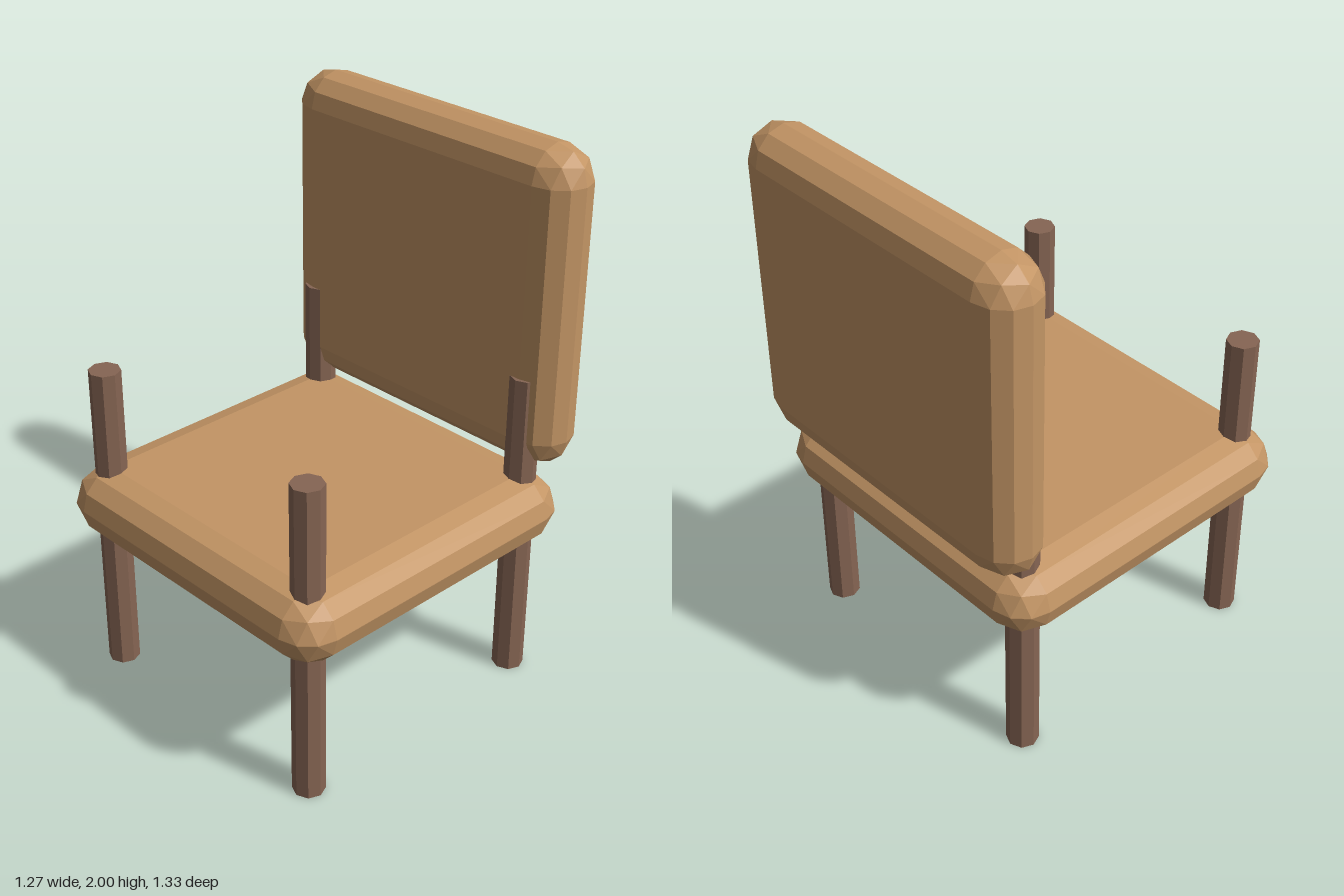
import * as THREE from 'three';
import { ConvexGeometry } from 'three/addons/geometries/ConvexGeometry.js';

// Block with faceted rounded edges (three 30 degree facets per edge)
function cushionGeometry(size, radius) {
  const c = Math.cos(Math.PI / 6), s = 0.5, d = 1 / Math.sqrt(3);
  const corner = [
    [1, 0, 0], [0, 1, 0], [0, 0, 1],
    [c, s, 0], [s, c, 0], [0, c, s], [0, s, c], [c, 0, s], [s, 0, c],
    [d, d, d],
  ];
  const points = [];
  for (const sx of [-1, 1]) for (const sy of [-1, 1]) for (const sz of [-1, 1]) {
    const sign = [sx, sy, sz];
    for (const n of corner) {
      const p = n.map((v, i) => sign[i] * (size[i] / 2 - radius[i] * (1 - v)));
      points.push(new THREE.Vector3(...p));
    }
  }
  return new ConvexGeometry(points);
}

export function createModel() {
  const model = new THREE.Group();
  model.name = 'chair';

  const tan = new THREE.MeshStandardMaterial({ color: 0xc39565 });
  tan.name = 'tan cushion';
  const brown = new THREE.MeshStandardMaterial({ color: 0x866553 });
  brown.name = 'brown wood';
  tan.flatShading = brown.flatShading = true;

  const add = (name, geometry, material, x, y, z) => {
    const mesh = new THREE.Mesh(geometry, material);
    mesh.name = name;
    mesh.position.set(x, y, z);
    model.add(mesh);
  };

  // Seat and backrest
  add('seat', cushionGeometry([1.27, 0.26, 1.265], [0.13, 0.129, 0.13]), tan, 0, 0.68, 0.0325);
  add('backrest', cushionGeometry([1.27, 1.16, 0.236], [0.13, 0.118, 0.117]), tan, 0, 1.42, -0.547);

  // Eight-sided posts running from the floor up through the seat
  const post = new THREE.CylinderGeometry(0.057, 0.057, 1.195, 8);
  for (const [side, x] of [['left', 0.503], ['right', -0.503]]) {
    add(side + 'FrontLeg', post, brown, x, 0.5975, 0.536);
    add(side + 'BackLeg', post, brown, x, 0.5975, -0.47);
  }
  return model;
}
